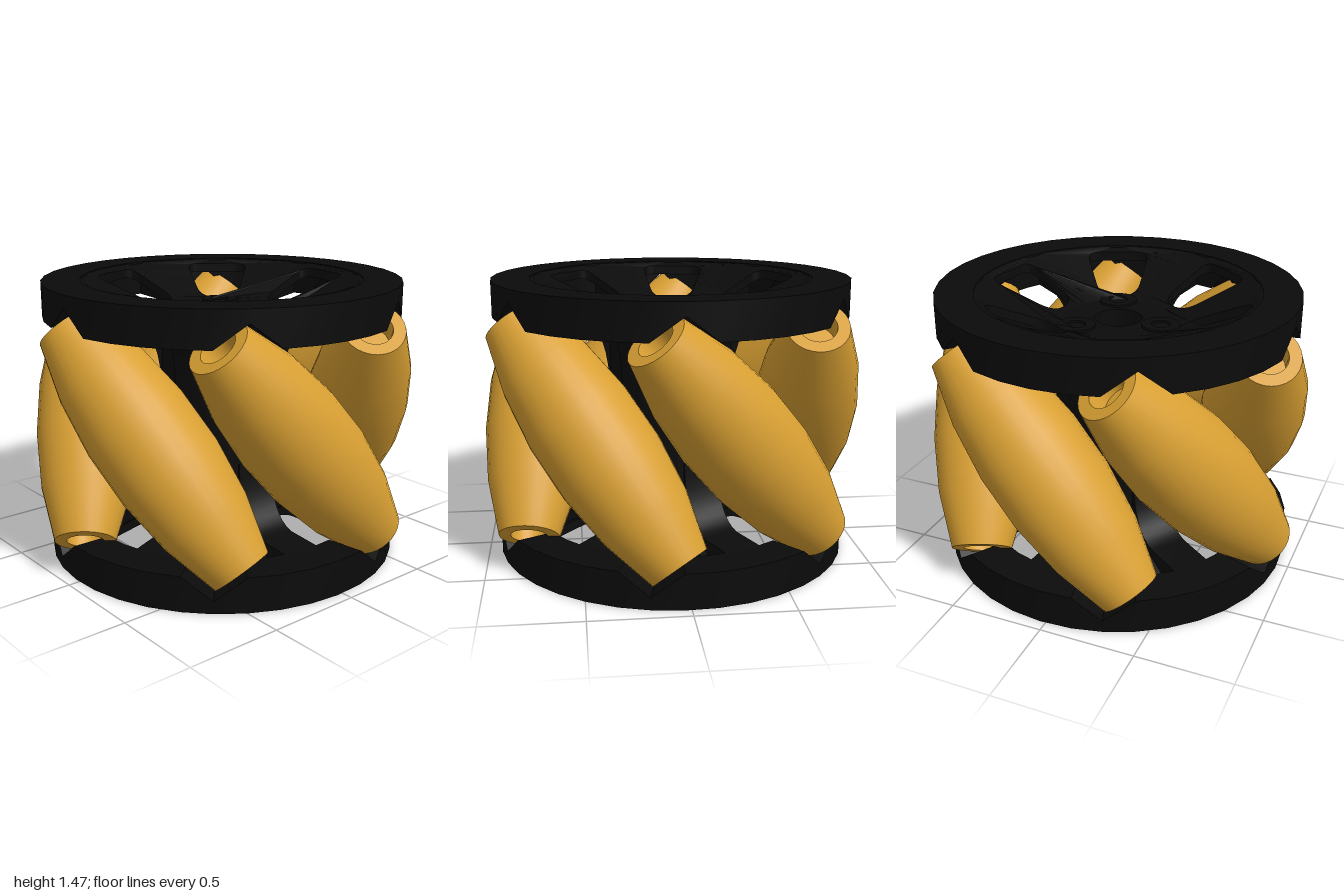
import * as THREE from 'three';
import { toCreasedNormals } from 'three/addons/utils/BufferGeometryUtils.js';

// Heights are measured from the middle of the wheel
const MID = 0.7325, RIM_LOW = 0.5475, HUB_TOP = 0.565;
const COUNT = 6, STEP = Math.PI * 2 / COUNT;
const PHASE = THREE.MathUtils.degToRad(-7);
const TILT = THREE.MathUtils.degToRad(41.3);
const black = new THREE.MeshStandardMaterial({ color: 0x0b0b0b });
const gold = new THREE.MeshStandardMaterial({ color: 0xd9a033 });

// Height of the dished outer face at a given radius
const dish = r => Math.min(MID - 0.004, HUB_TOP + Math.max(0, r - 0.34) * 0.4);

function add(parent, name, geometry, material) {
  const mesh = new THREE.Mesh(geometry, material);
  mesh.name = name;
  parent.add(mesh);
  return mesh;
}

function lathe(profile, sides) {
  const pts = profile.map(([r, y]) => new THREE.Vector2(r, y));
  return toCreasedNormals(new THREE.LatheGeometry(pts, sides), 0.6);
}

// Closed polygon path with rounded corners
function roundedPath(corners, radius) {
  const path = new THREE.Path();
  corners.forEach((c, i) => {
    const prev = corners[(i + corners.length - 1) % corners.length];
    const next = corners[(i + 1) % corners.length];
    const a = c.clone().add(prev.clone().sub(c).setLength(radius));
    const b = c.clone().add(next.clone().sub(c).setLength(radius));
    if (i === 0) path.moveTo(a.x, a.y); else path.lineTo(a.x, a.y);
    path.quadraticCurveTo(c.x, c.y, b.x, b.y);
  });
  path.closePath();
  return path;
}

// Thick outer ring whose inner edge has a V notch for each roller end
function rimGeometry() {
  const outer = 0.94, inner = 0.74, notchAngle = -25;
  const positions = [], index = [];
  for (let k = 0; k < COUNT; k++) {
    for (const degrees of [-35, notchAngle, -15.5, -5, 5, 15]) {
      const a = THREE.MathUtils.degToRad(degrees) + k * STEP;
      const low = degrees === notchAngle ? RIM_LOW + 0.12 : RIM_LOW;
      for (const [r, y] of [[outer, low], [outer, MID], [inner, MID], [inner, low]]) {
        positions.push(r * Math.sin(a), y, r * Math.cos(a));
      }
    }
  }
  const sections = positions.length / 12;
  for (let i = 0; i < sections; i++) {
    const p = i * 4, q = ((i + 1) % sections) * 4;
    for (let k = 0; k < 4; k++) {
      const n = (k + 1) % 4;
      index.push(p + k, q + k, q + n, p + k, q + n, p + n);
    }
  }
  const geo = new THREE.BufferGeometry();
  geo.setAttribute('position', new THREE.Float32BufferAttribute(positions, 3));
  geo.setIndex(index);
  return toCreasedNormals(geo, 0.4);
}

// Dished web with six windows, sinking toward the hub
function webGeometry() {
  const thickness = 0.05;
  const disc = new THREE.Shape().absarc(0, 0, 0.76, 0, Math.PI * 2, false);
  disc.holes.push(new THREE.Path().absarc(0, 0, 0.28, 0, Math.PI * 2, true));
  const corners = [[0.34, 0.1], [0.69, 0.182], [0.69, -0.182], [0.34, -0.1]];
  for (let i = 0; i < COUNT; i++) {
    const turned = corners.map(([x, y]) =>
      new THREE.Vector2(x, y).rotateAround(new THREE.Vector2(), i * STEP));
    disc.holes.push(roundedPath(turned, 0.085));
  }
  const geo = new THREE.ExtrudeGeometry(disc, { depth: thickness, bevelEnabled: false, curveSegments: 18 });
  geo.rotateX(-Math.PI / 2);
  const pos = geo.attributes.position;
  for (let i = 0; i < pos.count; i++) {
    const r = Math.hypot(pos.getX(i), pos.getZ(i));
    pos.setY(i, pos.getY(i) - thickness + dish(r));
  }
  return toCreasedNormals(geo, 0.5);
}

// Solid spoke with a flat underside, curving down into the hub
function spokeGeometry() {
  const width = 0.2;
  const side = new THREE.Shape();
  side.moveTo(0.3, HUB_TOP - 0.02);
  side.lineTo(0.3, 0.2);
  side.lineTo(0.325, 0.2);
  side.quadraticCurveTo(0.34, RIM_LOW - 0.03, 0.52, RIM_LOW);
  side.lineTo(0.76, RIM_LOW);
  side.lineTo(0.76, MID - 0.03);
  side.lineTo(0.72, dish(0.72) - 0.03);
  const geo = new THREE.ExtrudeGeometry(side, { depth: width, bevelEnabled: false, curveSegments: 8 });
  return toCreasedNormals(geo.translate(0, 0, -width / 2), 0.5);
}

// Barrel whose tilted surface follows a cylinder of radius 1
function rollerGeometry() {
  const half = 0.728, centre = 0.72, hole = 0.095, depth = 0.12;
  const profile = [[0, depth - half], [hole, depth - half], [hole, -half]];
  for (let i = 0; i <= 5; i++) {
    const s = -half + (2 * half * i) / 5;
    profile.push([Math.sqrt(1 - (Math.sin(TILT) * s) ** 2) - centre, s]);
  }
  profile.push([hole, half], [hole, half - depth], [0, half - depth]);
  return lathe(profile, 28);
}

export function createModel() {
  const model = new THREE.Group();
  model.name = 'omnidirectionalWheel';
  const wheel = new THREE.Group();
  wheel.name = 'wheel';
  wheel.position.y = MID;
  wheel.rotation.y = PHASE;
  model.add(wheel);

  // Two identical end plates, the lower one turned over
  const rim = rimGeometry(), web = webGeometry(), spoke = spokeGeometry();
  const boss = lathe([[0.05, 0.5], [0.1, 0.5], [0.1, 0.577], [0.05, 0.577], [0.05, 0.5]], 20);
  for (const [name, turn] of [['topPlate', 0], ['bottomPlate', Math.PI]]) {
    const plate = new THREE.Group();
    plate.name = name;
    plate.rotation.z = turn;
    add(plate, 'rim', rim, black);
    add(plate, 'web', web, black);
    for (let i = 0; i < COUNT; i++) {
      add(plate, 'spoke', spoke, black).rotation.y = (i + 0.5) * STEP;
      if (i % 2) {
        const a = i * STEP;
        add(plate, 'boltBoss', boss, black).position.set(0.25 * Math.cos(a), 0, -0.25 * Math.sin(a));
      }
    }
    wheel.add(plate);
  }

  // Hollow hub
  add(wheel, 'hub', lathe([
    [0.125, -HUB_TOP], [0.335, -HUB_TOP], [0.335, HUB_TOP], [0.125, HUB_TOP], [0.125, -HUB_TOP],
  ], 32), black);

  // Tilted rollers around the rim
  const barrel = rollerGeometry();
  for (let i = 0; i < COUNT; i++) {
    const station = new THREE.Group();
    station.name = 'rollerStation';
    station.rotation.y = i * STEP;
    const roller = add(station, 'roller', barrel, gold);
    roller.position.z = 0.72;
    roller.rotation.z = TILT;
    wheel.add(station);
  }
  return model;
}
